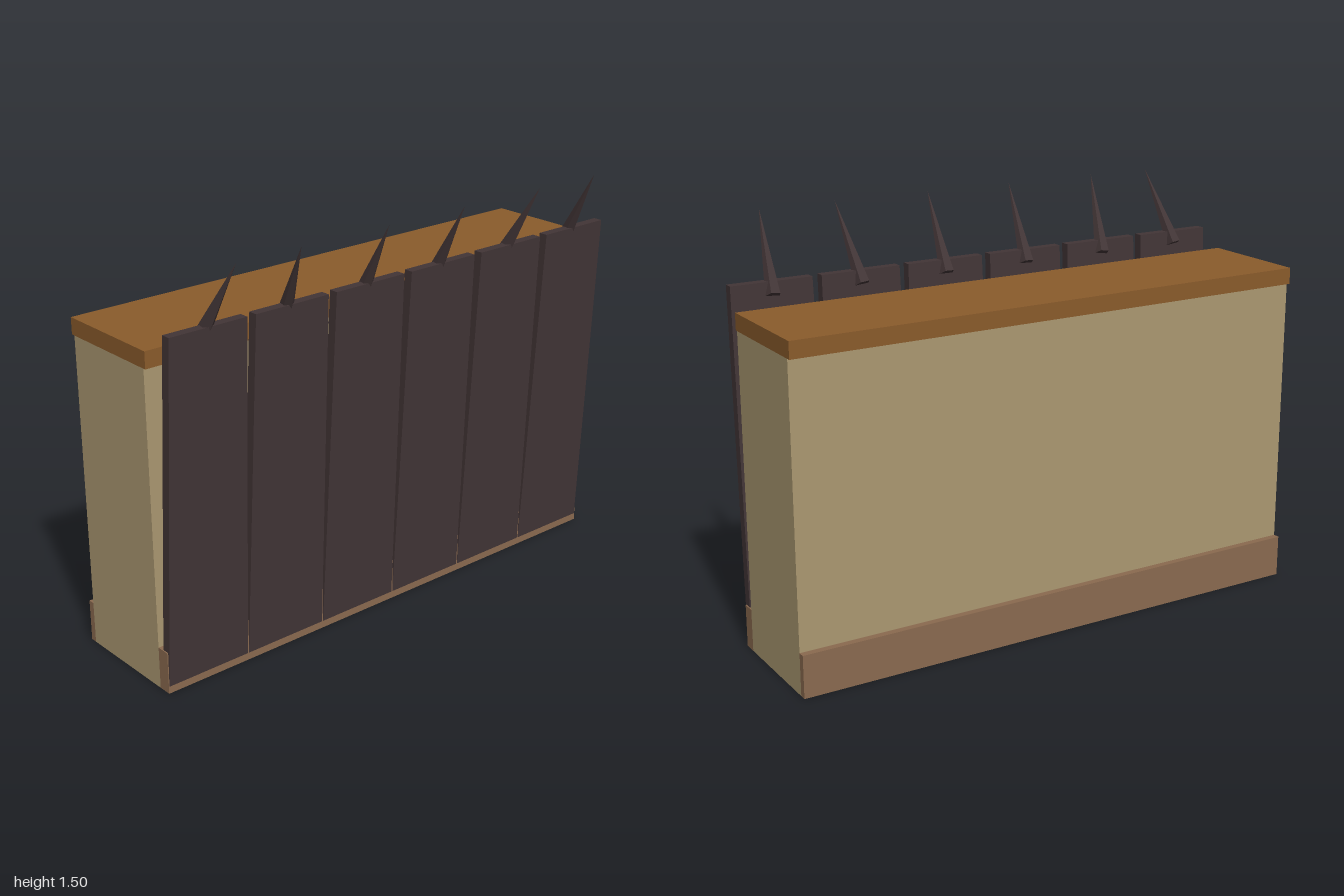
import * as THREE from 'three';

const mat = (name, color) => {
  const m = new THREE.MeshStandardMaterial({ color });
  m.name = name;
  return m;
};

export function createModel() {
  const model = new THREE.Group();
  model.name = 'spikedBarricade';

  const sand = mat('sand wall', 0xab9871);
  const capWood = mat('cap wood', 0x8a5b2b);
  const baseWood = mat('base wood', 0x8a6a4f);
  const darkWood = mat('dark plank', 0x423536);

  // Box given by its y and z limits
  const slab = (name, material, width, y0, y1, z0, z1) => {
    const mesh = new THREE.Mesh(new THREE.BoxGeometry(width, y1 - y0, z1 - z0), material);
    mesh.position.set(0, (y0 + y1) / 2, (z0 + z1) / 2);
    mesh.name = name;
    model.add(mesh);
  };

  // Wall core, cap, and the plinth showing in front and behind
  slab('wall', sand, 2, 0, 1.15, -0.3, 0.1);
  slab('cap', capWood, 2, 1.15, 1.21, -0.315, 0.11);
  slab('frontPlinth', baseWood, 2, 0, 0.155, 0.1, 0.15);
  slab('rearPlinth', baseWood, 2, 0, 0.155, -0.325, -0.3);

  // Leaning plank, narrower at the top and sheared forward
  const plankGeometry = new THREE.BoxGeometry(1, 1.28, 0.035);
  plankGeometry.translate(0, 0.64, 0);
  const p = plankGeometry.attributes.position;
  for (let i = 0; i < p.count; i++) {
    const t = p.getY(i) / 1.28;
    p.setX(i, p.getX(i) * THREE.MathUtils.lerp(0.329, 0.299, t));
    p.setZ(i, p.getZ(i) + THREE.MathUtils.lerp(0.131, 0.204, t));
  }
  plankGeometry.computeVertexNormals();

  // One spike leans out over the top of each plank
  const up = new THREE.Vector3(0, 1, 0);
  const tipX = [-0.797, -0.545, -0.18, 0.16, 0.527, 0.81];
  tipX.forEach((x, i) => {
    const centre = (i - 2.5) / 3;
    const plank = new THREE.Mesh(plankGeometry, darkWood);
    plank.position.x = centre;
    plank.name = `plank${i + 1}`;

    const foot = new THREE.Vector3(centre, 1.235, 0.177);
    const axis = new THREE.Vector3(x, 1.505, 0.325).sub(foot);
    const length = axis.length();
    const geometry = new THREE.ConeGeometry(0.028, length, 5).toNonIndexed();
    geometry.translate(0, length / 2, 0);
    geometry.computeVertexNormals();
    const spike = new THREE.Mesh(geometry, darkWood);
    spike.position.copy(foot);
    spike.quaternion.setFromUnitVectors(up, axis.normalize());
    spike.name = `spike${i + 1}`;
    model.add(plank, spike);
  });

  return model;
}
